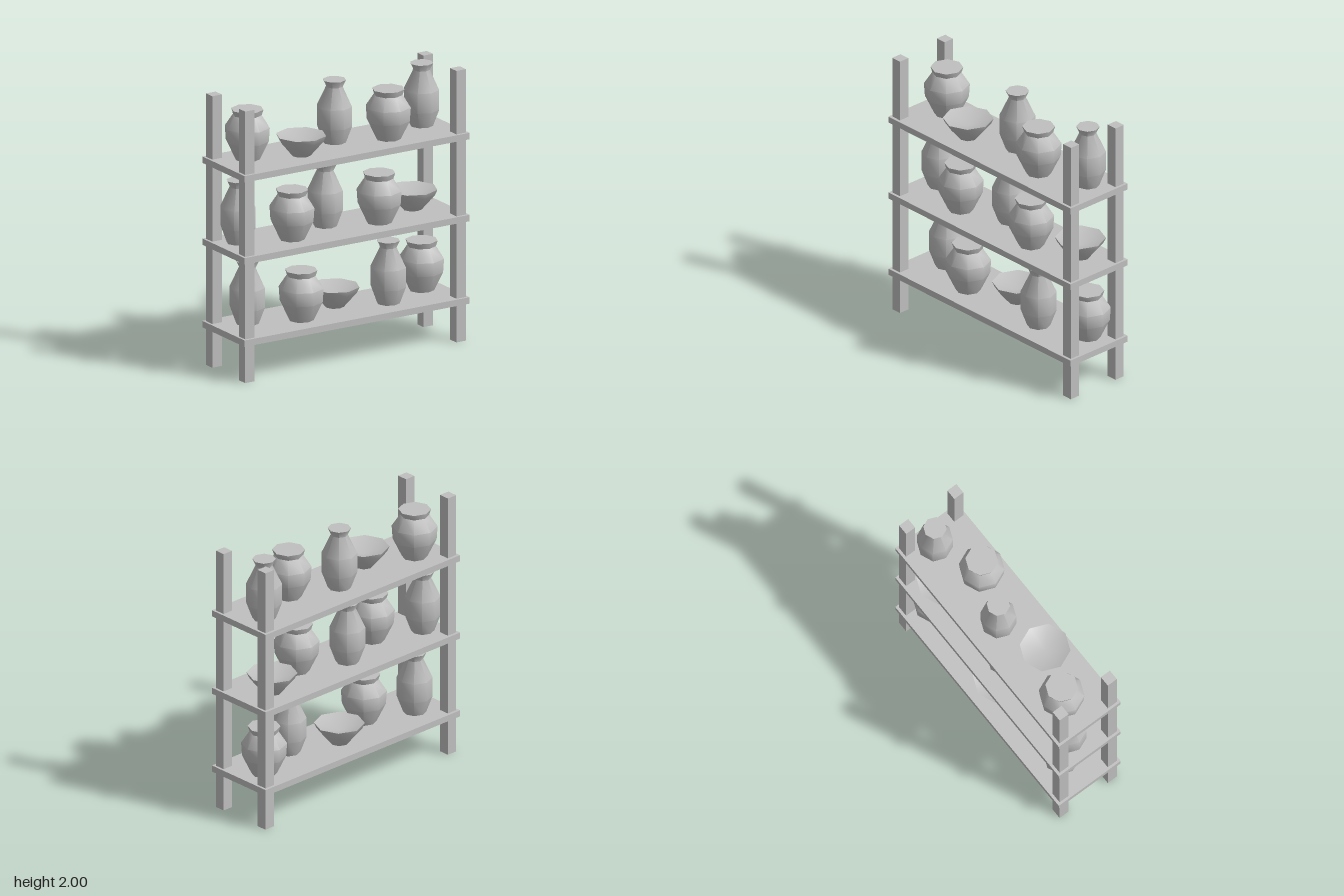
import * as THREE from 'three';
import { toCreasedNormals } from 'three/addons/utils/BufferGeometryUtils.js';

const clay = new THREE.MeshStandardMaterial({ color: 0xc0c0c0 });
clay.name = 'plain grey';

// Eight-sided turned vessel from a [radius, height] profile
function vessel(profile) {
  const points = profile.map(([r, y]) => new THREE.Vector2(r, y));
  return toCreasedNormals(new THREE.LatheGeometry(points, 8), 0.82);
}

export function createModel() {
  const group = new THREE.Group();

  function add(name, geometry, x, y, z) {
    const mesh = new THREE.Mesh(geometry, clay);
    mesh.name = name;
    mesh.position.set(x, y, z);
    group.add(mesh);
  }

  const vessels = {
    vase: vessel([[0, 0], [0.083, 0], [0.127, 0.12], [0.127, 0.265], [0.06, 0.41], [0.083, 0.46], [0, 0.46]]),
    jar: vessel([[0, 0], [0.09, 0], [0.155, 0.135], [0.162, 0.235], [0.103, 0.325], [0.116, 0.366], [0, 0.366]]),
    bowl: vessel([[0, 0], [0.068, 0], [0.162, 0.11], [0.18, 0.15], [0, 0.09]]),
  };

  // Corner posts
  const post = new THREE.BoxGeometry(0.08, 2, 0.08);
  for (const x of [-0.882, 0.882]) {
    for (const z of [-0.214, 0.214]) add('post', post, x, 1, z);
  }

  // Shelves, each with its row of pottery set alternately back and forward
  const board = new THREE.BoxGeometry(1.88, 0.047, 0.55);
  const rows = [
    { top: 0.322, start: -0.7, items: ['vase', 'jar', 'bowl', 'vase', 'jar'] },
    { top: 0.929, start: -0.777, items: ['vase', 'jar', 'vase', 'jar', 'bowl'] },
    { top: 1.533, start: -0.7, items: ['jar', 'bowl', 'vase', 'jar', 'vase'] },
  ];
  for (const { top, start, items } of rows) {
    add('shelf', board, 0, top - 0.0235, 0);
    items.forEach((kind, i) => {
      add(kind, vessels[kind], start + i * 0.364, top, i % 2 ? 0.07 : -0.064);
    });
  }
  return group;
}
